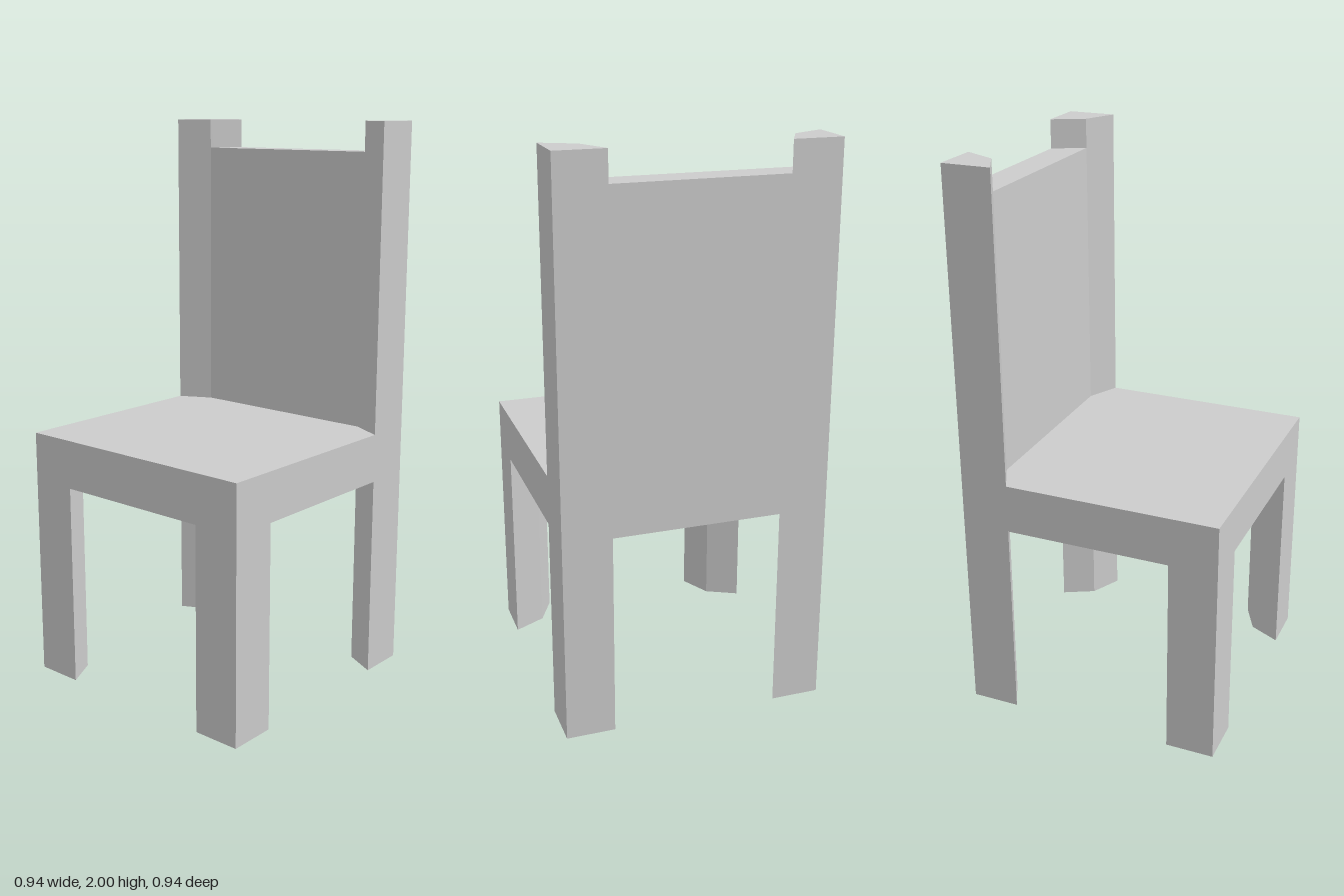
import * as THREE from 'three';

const HALF = 0.47;        // half width of the square footprint
const EDGE = 0.297;       // where a post ends along the outer sides
const INNER = 0.355;      // inner corner of the kite-shaped post
const SEAT_BOTTOM = 0.735, SEAT_TOP = 0.91, PANEL_TOP = 1.895, POST_TOP = 2;

export function createModel() {
  const chair = new THREE.Group();
  chair.name = 'chair';
  const material = new THREE.MeshStandardMaterial({ color: 0xcccccc, flatShading: true });

  // Upright prism from a plan outline of [x, z] points
  const addPrism = (name, outline, bottom, top) => {
    const shape = new THREE.Shape(outline.map(([x, z]) => new THREE.Vector2(x, -z)));
    const geometry = new THREE.ExtrudeGeometry(shape, { depth: top - bottom, bevelEnabled: false });
    geometry.rotateX(-Math.PI / 2).translate(0, bottom, 0);
    const mesh = new THREE.Mesh(geometry, material);
    mesh.name = name;
    chair.add(mesh);
  };

  // Kite-shaped corner outline, mirrored into each quadrant
  const kite = (sx, sz) => [[HALF, HALF], [HALF, EDGE], [INNER, INNER], [EDGE, HALF]]
    .map(([x, z]) => [x * sx, z * sz]);

  // Legs, and the posts that carry on above the seat at the back (+x)
  for (const sz of [1, -1]) {
    const side = sz > 0 ? 'Right' : 'Left';
    addPrism('frontLeg' + side, kite(-1, sz), 0, SEAT_BOTTOM);
    addPrism('rearLeg' + side, kite(1, sz), 0, SEAT_BOTTOM);
    addPrism('backPost' + side, kite(1, sz), SEAT_TOP, POST_TOP);
  }

  // Seat slab
  addPrism('seat', [[-HALF, -HALF], [HALF, -HALF], [HALF, HALF], [-HALF, HALF]], SEAT_BOTTOM, SEAT_TOP);

  // Back panel filling the gap between the posts
  addPrism('backPanel', [[INNER, -INNER], [HALF, -EDGE], [HALF, EDGE], [INNER, INNER]], SEAT_TOP, PANEL_TOP);

  return chair;
}
